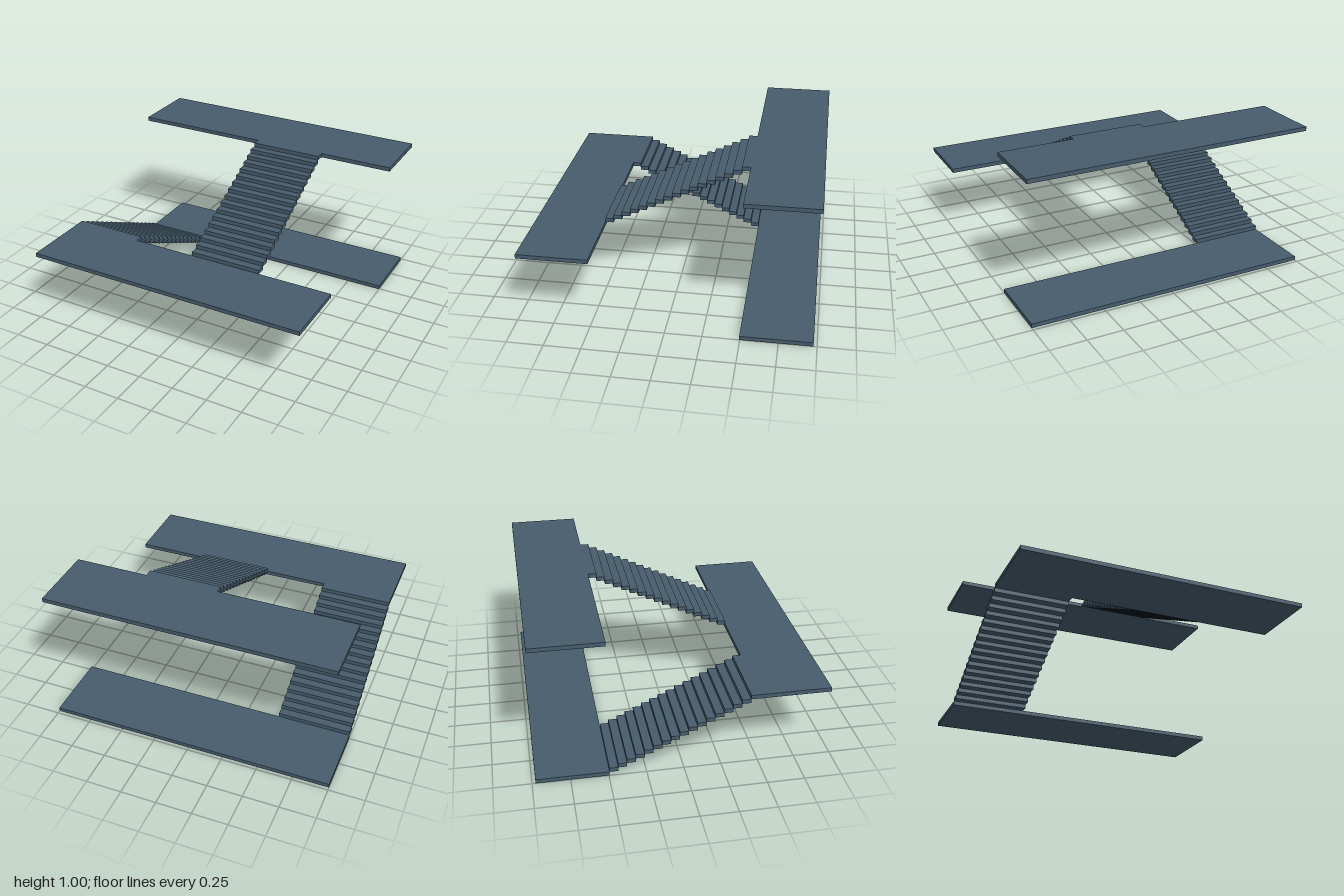
import * as THREE from 'three';

const STEPS = 17;                      // treads per flight
const H = 1 / (2 * STEPS + 1);         // slab thickness, also the rise of one step
const INNER = 0.495;                   // z where floors meet the stairs
const OUTER = 0.977;                   // z of the outer floor edges
const GOING = (2 * INNER) / STEPS;     // tread depth

export function createModel() {
  const model = new THREE.Group();
  model.name = 'staircase';
  const material = new THREE.MeshStandardMaterial({ color: 0x465c6c });

  const slab = (name, parent, width, depth, x, level, z) => {
    const mesh = new THREE.Mesh(new THREE.BoxGeometry(width, H, depth), material);
    mesh.name = name;
    mesh.position.set(x, (level + 0.5) * H, z);
    parent.add(mesh);
  };

  // Three floors: back, front, back
  const depth = OUTER - INNER;
  const zMid = (OUTER + INNER) / 2;
  slab('lowerFloor', model, 2, depth, 0, 0, -zMid);
  slab('middleLanding', model, 2, depth, 0, STEPS, zMid);
  slab('upperFloor', model, 2, depth, 0, 2 * STEPS, -zMid);

  // Flights of separate treads; direction is the way they climb along z
  const flight = (name, x0, x1, baseLevel, direction) => {
    const group = new THREE.Group();
    group.name = name;
    for (let i = 0; i < STEPS; i++) {
      const z = direction * (-INNER + (i + 0.5) * GOING);
      slab(`tread${i + 1}`, group, x1 - x0, GOING, (x0 + x1) / 2, baseLevel + 1 + i, z);
    }
    model.add(group);
  };
  flight('lowerFlight', -1, -0.485, 0, 1);
  flight('upperFlight', -0.033, 0.482, STEPS, -1);

  return model;
}
